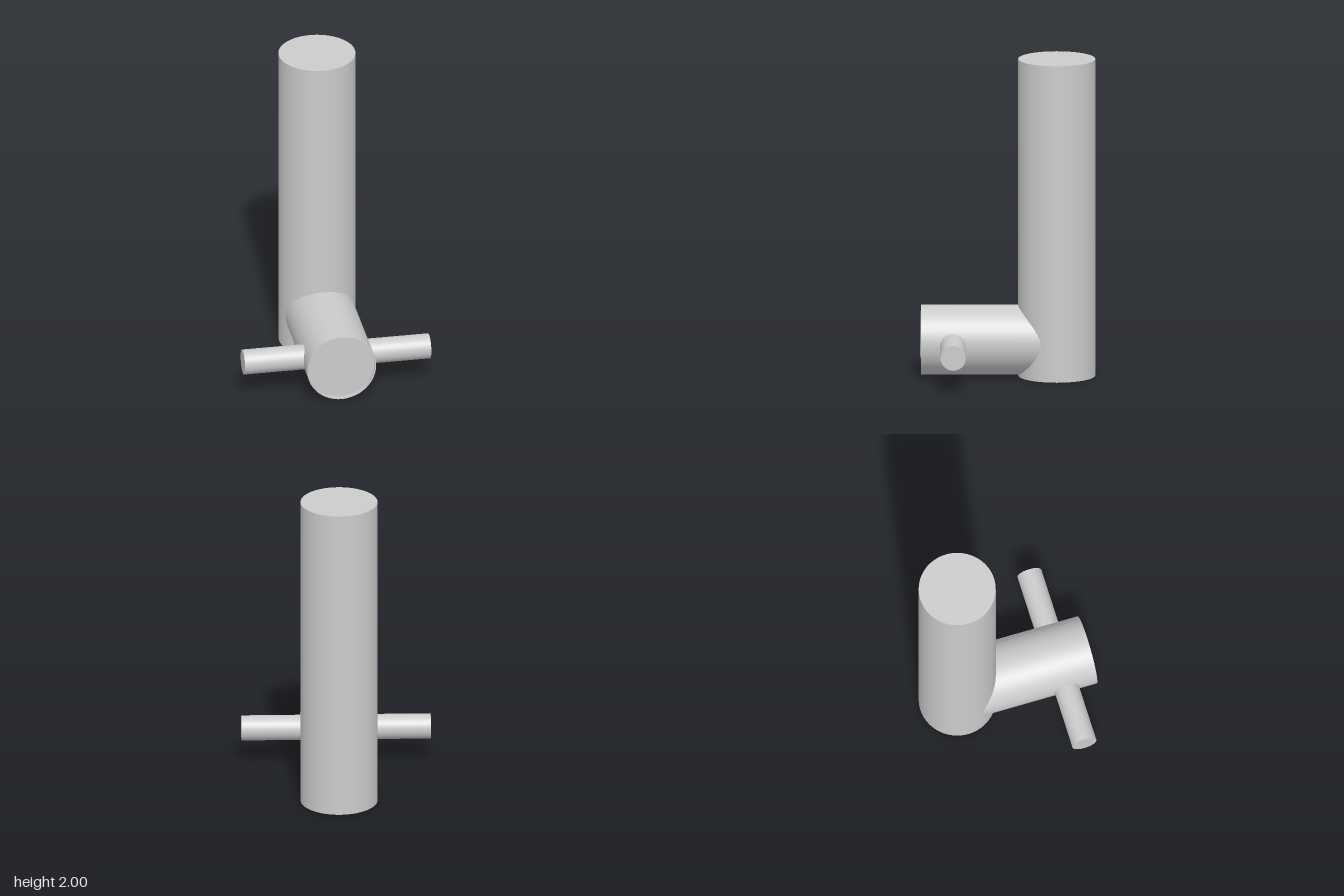
import * as THREE from 'three';

const SEGMENTS = 64;

export function createModel() {
  const group = new THREE.Group();
  const material = new THREE.MeshStandardMaterial({ color: 0xcccccc });
  const add = (name, geometry, x, y, z) => {
    const mesh = new THREE.Mesh(geometry, material);
    mesh.name = name;
    mesh.position.set(x, y, z);
    group.add(mesh);
    return mesh;
  };

  // Upright column
  add('column', new THREE.CylinderGeometry(0.239, 0.239, 2, SEGMENTS), 0, 1, -0.302);

  // Horizontal barrel running forward from inside the column, open at the front
  const barrelY = 0.226, radius = 0.217, inner = 0.208, length = 0.84, recess = 0.02;
  const wall = [
    [[0, 0], [radius, 0]],
    [[radius, 0], [radius, length]],
    [[radius, length], [inner, length]],
    [[inner, length], [inner, length - recess]],
  ];
  // Each section is its own lathe so that the edges stay sharp
  wall.forEach((pair, i) => {
    const points = pair.map(([r, h]) => new THREE.Vector2(r, h));
    const name = ['barrelBack', 'barrelSide', 'barrelRim', 'barrelLip'][i];
    add(name, new THREE.LatheGeometry(points, SEGMENTS), 0, barrelY, -0.3).rotation.x = Math.PI / 2;
  });

  // Shallow recessed end plate
  add('endPlate', new THREE.CircleGeometry(inner, SEGMENTS), 0, barrelY, -0.3 + length - recess);

  // Pegs sticking out on both sides of the barrel
  for (const side of [1, -1]) {
    const peg = add(side > 0 ? 'leftPeg' : 'rightPeg',
      new THREE.CylinderGeometry(0.078, 0.078, 0.437, 48), side * 0.3685, 0.224, 0.344);
    peg.rotation.z = -side * Math.PI / 2;
  }
  return group;
}
